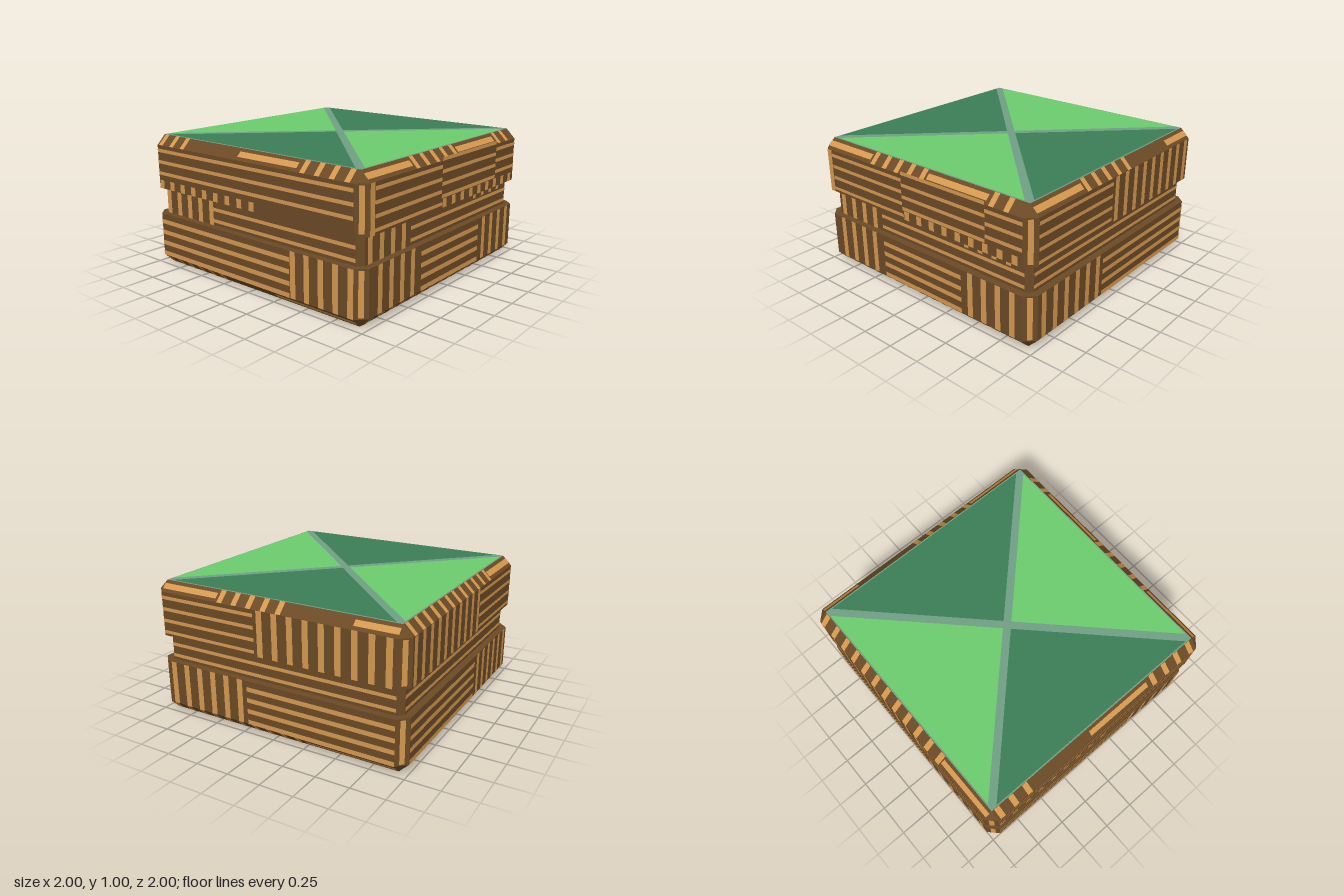
import * as THREE from 'three';
import { mergeGeometries } from 'three/addons/utils/BufferGeometryUtils.js';

const mat = (name, color) => Object.assign(new THREE.MeshStandardMaterial({ color }), { name });
const STEP = 0.12, LIFT = 0.002;

// Chamfered block with a recessed waist: octagonal rings [y, halfWidth, halfFlat]
function bodyGeometry() {
  const rings = [
    [0, 0, 0], [0, 0.93, 0.93], [0.07, 1, 0.93], [0.4, 1, 0.93], [0.4, 0.95, 0.91],
    [0.6, 0.95, 0.91], [0.6, 1, 0.93], [0.93, 1, 0.93], [1, 0.93, 0.93], [1, 0, 0],
  ].map(([y, h, f]) =>
    [[f, h], [h, f], [h, -f], [f, -h], [-f, -h], [-h, -f], [-h, f], [-f, h]]
      .map(([x, z]) => new THREE.Vector3(x, y, z)));
  const points = [];
  const tri = (a, b, c) => {
    if (new THREE.Triangle(a, b, c).getArea() > 1e-6) points.push(a, b, c);
  };
  for (let r = 0; r + 1 < rings.length; r++) {
    for (let i = 0; i < 8; i++) {
      const j = (i + 1) % 8, lo = rings[r], hi = rings[r + 1];
      tri(lo[i], lo[j], hi[j]);
      tri(lo[i], hi[j], hi[i]);
    }
  }
  const g = new THREE.BufferGeometry().setFromPoints(points);
  g.computeVertexNormals();
  return g;
}

// Flat rectangle in the xy plane
const rect = (u0, u1, v0, v1) =>
  new THREE.PlaneGeometry(u1 - u0, v1 - v0).translate((u0 + u1) / 2, (v0 + v1) / 2, 0);

// Long stripes, evenly spaced in height
function rows(u0, u1, { low, pitch = 0, count = 1, thick }, shift = 0) {
  return Array.from({ length: count }, (_, i) => {
    const v = low + i * pitch + shift;
    return rect(u0, u1, v - thick / 2, v + thick / 2);
  });
}

// Upright stripes from the first centre to the last
function bars(first, last, v0, v1, w) {
  const out = [];
  for (let u = first; u <= last + 0.01; u += STEP) out.push(rect(u - w / 2, u + w / 2, v0, v1));
  return out;
}

// Bands of a side: extent, row layout, and where the band lies
const bevel = { v0: -0.049, v1: 0.049, low: 0, thick: 0.045, barWidth: 0.042, z: 0.9665 };
const bands = {
  upper: { v0: 0.6, v1: 0.93, low: 0.717, pitch: 0.0865, count: 3, thick: 0.026, barWidth: 0.046, y: 0, z: 1 + LIFT, tilt: 0 },
  waist: { v0: 0.4, v1: 0.6, low: 0.435, pitch: 0.085, count: 2, thick: 0.026, barWidth: 0.046, y: 0, z: 0.95 + LIFT, tilt: 0 },
  lower: { v0: 0.07, v1: 0.4, low: 0.086, pitch: 0.084, count: 4, thick: 0.034, barWidth: 0.046, y: 0, z: 1 + LIFT, tilt: 0 },
  topBevel: { ...bevel, y: 0.9665, tilt: -Math.PI / 4 },
  bottomBevel: { ...bevel, y: 0.0335, tilt: Math.PI / 4 },
};

// Kinds of stripe patch
const kinds = {
  rows: (u0, u1, band) => rows(u0, u1, band),
  raisedRows: (u0, u1, band) => rows(u0, u1, { ...band, count: 4 }, -0.035),
  lowRow: (u0, u1, band) => rows(u0, u1, { low: band.v0 + 0.03, thick: 0.024 }),
  bars: (u0, u1, band) => bars(u0, u1, band.v0, band.v1, band.barWidth),
  teeth: (u0, u1, band) => bars(u0, u1, band.v0, band.v0 + 0.065, 0.048),
  hangingTeeth: (u0, u1, band) => bars(u0, u1, band.v1 - 0.055, band.v1, 0.042),
};

// Patches of each side from its left to its right, seen from outside
const sides = {
  front: {
    upper: [['rows', -0.93, 0.93], ['teeth', -0.9, 0.06]],
    waist: [['bars', -0.89, -0.41], ['rows', -0.42, 0.91]],
    lower: [['rows', -0.93, 0.4], ['bars', 0.43, 0.91]],
    topBevel: [['bars', -0.89, -0.65], ['rows', -0.08, 0.46], ['bars', 0.52, 0.9]],
    bottomBevel: [['bars', -0.89, -0.3], ['rows', 0.24, 0.93]],
  },
  right: {
    upper: [['rows', -0.88, -0.13], ['raisedRows', -0.13, 0.63], ['rows', 0.63, 0.93],
      ['lowRow', -0.93, -0.12], ['teeth', -0.09, 0.88], ['bars', -0.907, -0.907]],
    waist: [['bars', -0.86, -0.5], ['rows', -0.42, 0.91], ['hangingTeeth', 0.42, 0.88]],
    lower: [['bars', -0.82, -0.46], ['rows', -0.36, 0.41], ['bars', 0.49, 0.87]],
    topBevel: [['rows', -0.93, -0.46], ['bars', -0.42, 0.08], ['rows', 0.1, 0.63], ['bars', 0.68, 0.9]],
    bottomBevel: [['bars', -0.89, 0.9]],
  },
  back: {
    upper: [['rows', -0.93, -0.13], ['lowRow', -0.93, -0.13], ['bars', -0.08, 0.9]],
    waist: [['rows', -0.91, 0.91]],
    lower: [['bars', -0.87, -0.25], ['rows', -0.21, 0.93]],
    topBevel: [['rows', -0.93, -0.45], ['bars', -0.41, 0.07], ['rows', 0.62, 0.93]],
    bottomBevel: [['bars', -0.89, 0.2], ['rows', 0.25, 0.93]],
  },
  left: {
    upper: [['bars', -0.89, 0.2], ['rows', 0.22, 0.93], ['lowRow', 0.22, 0.93]],
    waist: [['rows', -0.91, 0.91]],
    lower: [['rows', -0.93, 0.2], ['bars', 0.27, 0.9]],
    topBevel: [['bars', -0.89, 0.44], ['rows', 0.46, 0.93]],
    bottomBevel: [['bars', -0.89, 0.9]],
  },
};

// Basket weave of alternating square patches
function basketWeave(size, perPatch) {
  const out = [], half = size / 2, pitch = size / perPatch, w = 0.016;
  for (let a = -1; a <= 1; a++) {
    for (let b = -1; b <= 1; b++) {
      for (let k = 0; k < perPatch; k++) {
        const t = (k + 0.5) * pitch - half;
        const strip = (a + b) % 2 === 0 ? rect(-half, half, t - w, t + w) : rect(t - w, t + w, -half, half);
        out.push(strip.translate(a * size, b * size, 0));
      }
    }
  }
  return mergeGeometries(out);
}

export function createModel() {
  const model = new THREE.Group();
  const darkWood = mat('dark brown', 0x6b4a26), lightWood = mat('light brown', 0xd6994f);
  const seam = mat('grey green', 0x6f9f84);
  const paleGreen = mat('light green', 0x6bcc6d), deepGreen = mat('dark green', 0x3c7d57);
  const add = (parent, name, geometry, material) => {
    const mesh = new THREE.Mesh(geometry, material);
    mesh.name = name;
    parent.add(mesh);
    return mesh;
  };
  const group = (name, turns) => {
    const g = new THREE.Group();
    g.name = name;
    g.rotation.y = (turns * Math.PI) / 2;
    model.add(g);
    return g;
  };

  add(model, 'body', bodyGeometry(), darkWood);

  Object.entries(sides).forEach(([sideName, layout], i) => {
    // Woven stripes on the wall and its bevels
    const side = group(sideName + 'Weave', i);
    for (const [bandName, patches] of Object.entries(layout)) {
      const band = bands[bandName];
      const strips = patches.flatMap(([kind, u0, u1]) => kinds[kind](u0, u1, band));
      const mesh = add(side, bandName + 'Stripes', mergeGeometries(strips), lightWood);
      mesh.position.set(0, band.y, band.z);
      mesh.rotation.x = band.tilt;
    }
    // Pale strips down the corner chamfer
    const strips = mergeGeometries([rect(-0.018, 0.018, 0.62, 0.92), rect(-0.018, 0.018, 0.08, 0.39)]);
    const corner = group('corner', i + 0.5);
    add(corner, 'cornerStrips', strips, lightWood).position.z = 1.93 / Math.SQRT2 + LIFT;
  });

  // Underside
  const base = add(model, 'baseWeave', basketWeave(0.61, 7), lightWood);
  base.rotation.x = Math.PI / 2;
  base.position.y = -0.001;

  // Four-panel top with seams
  const top = group('top', 0);
  add(top, 'topSeam', rect(-0.93, 0.93, -0.93, 0.93).rotateX(-Math.PI / 2), seam).position.y = 1.001;
  const panel = new THREE.Shape([[-0.88, -0.92], [0.88, -0.92], [0, -0.04]].map((p) => new THREE.Vector2(...p)));
  for (let i = 0; i < 4; i++) {
    const m = add(top, 'topPanel', new THREE.ShapeGeometry(panel).rotateX(-Math.PI / 2), i % 2 ? paleGreen : deepGreen);
    m.rotation.y = (i * Math.PI) / 2;
    m.position.y = 1.003;
  }
  return model;
}
